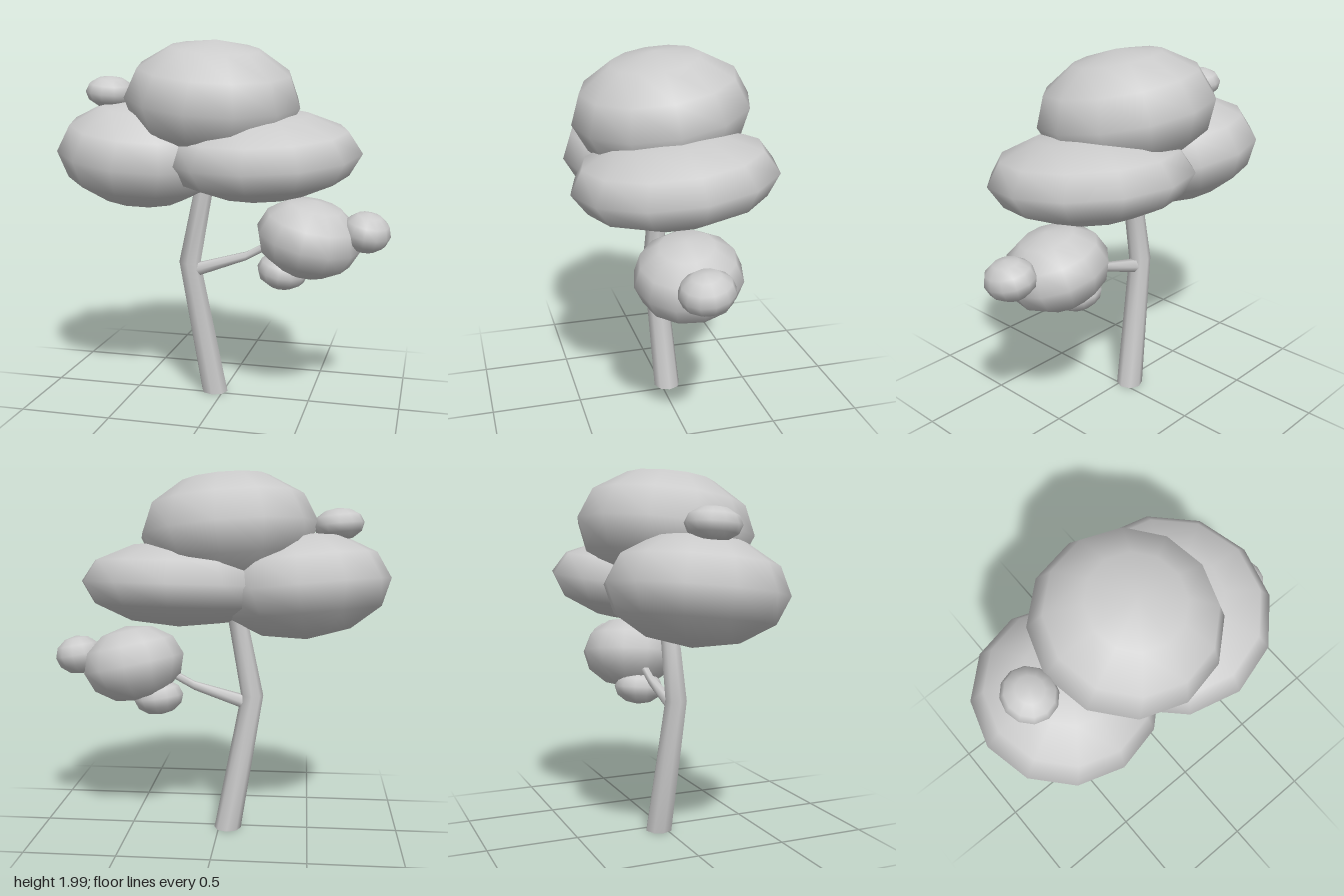
import * as THREE from 'three';

const material = new THREE.MeshStandardMaterial({ color: 0xcccccc });

// Leaf clumps: name, centre, radii, tilt
const CLUMPS = [
  ['crownTop', [-0.05, 1.68, 0], [0.485, 0.315, 0.485], [0.14, -0.06, -0.09]],
  ['crownLeft', [0.22, 1.385, 0], [0.545, 0.235, 0.55], [0.1, 0.02, 0.02]],
  ['crownRight', [-0.45, 1.38, 0], [0.48, 0.29, 0.475], [0.12, -0.04, -0.1]],
  ['crownRightTuft', [-0.64, 1.71, 0], [0.137, 0.088, 0.145], [0.1, 0, -0.1]],
  ['lowerClump', [0.485, 0.935, 0], [0.29, 0.213, 0.285], [0.12, 0, -0.22]],
  ['lowerOuterTuft', [0.795, 0.98, 0], [0.132, 0.108, 0.145], [0.12, 0, -0.18]],
  ['lowerUnderTuft', [0.345, 0.745, 0], [0.142, 0.1, 0.145], [0.12, 0, -0.15]],
];

// Tapered limb through rings [x, y, z, radius]; rings lie flat across the given axis
function limb(rings, sides, axis) {
  const positions = [], index = [];
  rings.forEach(([x, y, z, r], i) => {
    for (let j = 0; j < sides; j++) {
      const a = (j / sides) * Math.PI * 2;
      const u = r * Math.cos(a), v = r * Math.sin(a);
      if (axis === 'y') positions.push(x + u, y, z + v);
      else positions.push(x, y + v, z + u);
      if (i === rings.length - 1) continue;
      const p = i * sides + j, q = i * sides + ((j + 1) % sides);
      index.push(p, p + sides, q, q, p + sides, q + sides);
    }
  });
  const geometry = new THREE.BufferGeometry();
  geometry.setAttribute('position', new THREE.Float32BufferAttribute(positions, 3));
  geometry.setIndex(index);
  geometry.computeVertexNormals();
  return geometry;
}

export function createModel() {
  const tree = new THREE.Group();
  tree.name = 'tree';
  const add = (name, geometry) => {
    const mesh = new THREE.Mesh(geometry, material);
    mesh.name = name;
    tree.add(mesh);
    return mesh;
  };

  // Bent trunk, its ends hidden in the crown and closed at the ground
  add('trunk', limb([
    [-0.05, 0, -0.035, 0.075],
    [-0.183, 0.765, 0.01, 0.062],
    [-0.1, 1.2, 0, 0.053],
    [-0.06, 1.42, 0, 0.045],
  ], 8, 'y'));
  const base = add('trunkBase', new THREE.CircleGeometry(0.075, 8));
  base.rotation.x = Math.PI / 2;
  base.position.set(-0.05, 0, -0.035);

  // Side branch reaching into the lower clump
  add('branch', limb([
    [-0.18, 0.71, 0.01, 0.05],
    [-0.11, 0.735, 0.01, 0.04],
    [0.14, 0.815, 0, 0.026],
    [0.25, 0.875, 0, 0.025],
    [0.4, 0.95, 0, 0.022],
  ], 6, 'x'));

  // Foliage
  const sphere = new THREE.SphereGeometry(1, 12, 6);
  for (const [name, centre, radii, tilt] of CLUMPS) {
    const clump = add(name, sphere);
    clump.position.set(...centre);
    clump.scale.set(...radii);
    clump.rotation.set(...tilt);
  }
  return tree;
}
